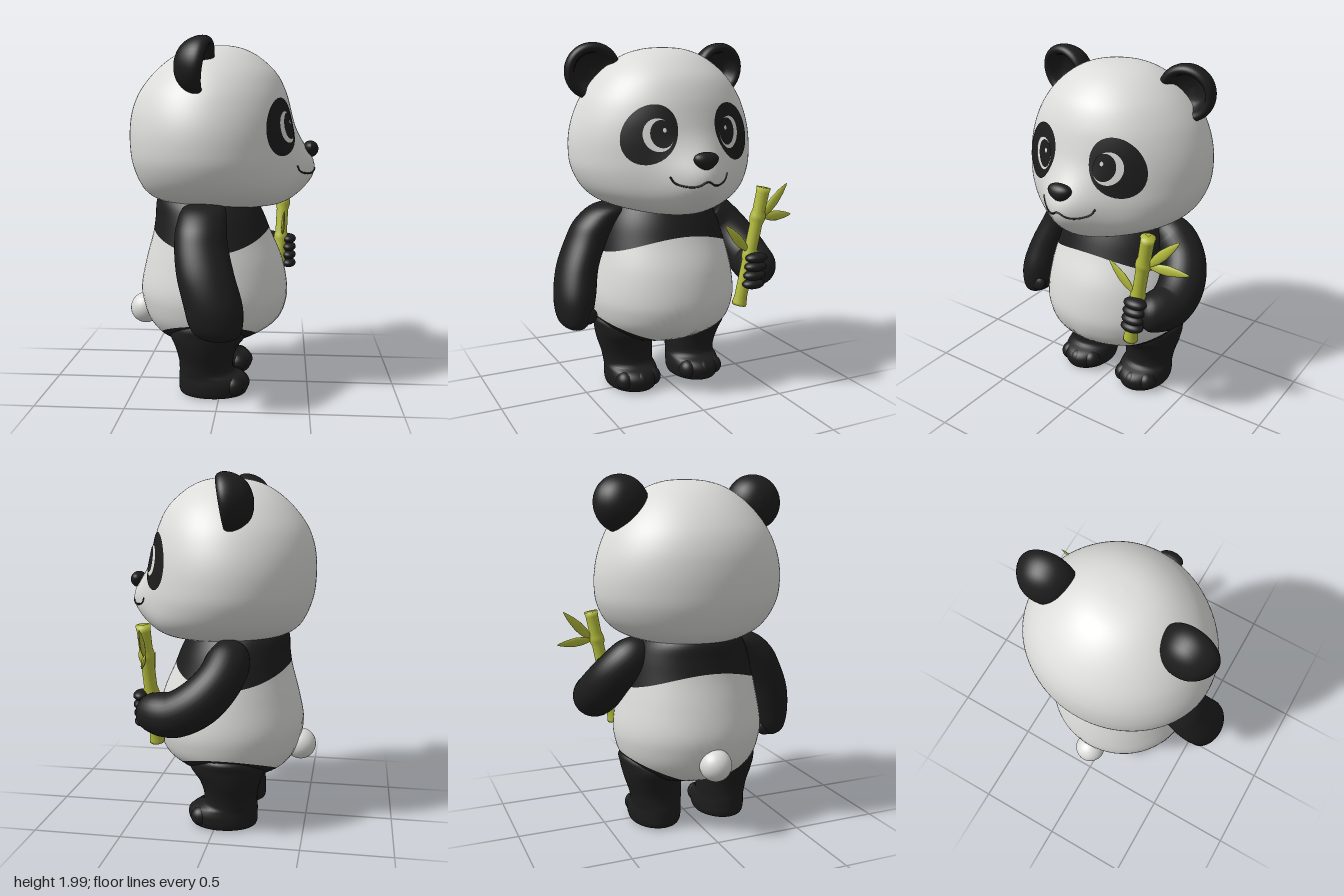
import * as THREE from 'three';

const material = (name, color) => {
  const m = new THREE.MeshStandardMaterial({ color });
  m.name = name;
  return m;
};

// Closed-loop surface: point(u, a) gives a ring for every u in 0..1
function gridGeometry(nU, nA, point) {
  const pos = [], index = [];
  for (let j = 0; j <= nU; j++)
    for (let i = 0; i < nA; i++) pos.push(...point(j / nU, (i / nA) * Math.PI * 2));
  for (let j = 0; j < nU; j++)
    for (let i = 0; i < nA; i++) {
      const k = (i + 1) % nA, a = j * nA + i, b = j * nA + k;
      index.push(a, b, a + nA, b, b + nA, a + nA);
    }
  const g = new THREE.BufferGeometry();
  g.setAttribute('position', new THREE.Float32BufferAttribute(pos, 3));
  g.setIndex(index);
  g.computeVertexNormals();
  return g;
}

// Smooth interpolation through a list of cross-sections
function rowAt(rows, u) {
  const n = rows.length - 1, f = Math.min(u * n, n - 1e-6), i = Math.floor(f), t = f - i;
  const at = (k) => rows[Math.max(0, Math.min(n, k))];
  return rows[0].map((_, c) => {
    const p0 = at(i - 1)[c], p1 = at(i)[c], p2 = at(i + 1)[c], p3 = at(i + 2)[c];
    const m1 = (p2 - p0) / 2, m2 = (p3 - p1) / 2;
    return (2 * t ** 3 - 3 * t * t + 1) * p1 + (t ** 3 - 2 * t * t + t) * m1
      + (3 * t * t - 2 * t ** 3) * p2 + (t ** 3 - t * t) * m2;
  });
}
function uOf(rows, y) {
  let lo = 0, hi = 1;
  for (let k = 0; k < 24; k++) {
    const mid = (lo + hi) / 2;
    if (rowAt(rows, mid)[0] < y) lo = mid; else hi = mid;
  }
  return lo;
}

// Sections are [y, centre x, half width, back z, front z]
function ringPoint(rows, u, a) {
  const [y, cx, rx, zb, zf] = rowAt(rows, u);
  return [cx + Math.max(0, rx) * Math.sin(a), y, (zb + zf) / 2 + ((zf - zb) / 2) * Math.cos(a)];
}
const loft = (rows, nU, nA, u0 = () => 0, u1 = () => 1) => gridGeometry(nU, nA, (t, a) =>
  ringPoint(rows, THREE.MathUtils.lerp(u0(a), u1(a), t), a));

// Tube of changing radius along points [x, y, z, radius]
function sweep(points, nU, nA) {
  const curve = new THREE.CatmullRomCurve3(points.map((p) => new THREE.Vector3(p[0], p[1], p[2])));
  const frames = curve.computeFrenetFrames(nU), radii = points.map((p) => [p[3]]);
  return gridGeometry(nU, nA, (u, a) => {
    const i = Math.round(u * nU), r = Math.max(0, rowAt(radii, curve.getUtoTmapping(u))[0]);
    return curve.getPointAt(u).addScaledVector(frames.normals[i], r * Math.cos(a))
      .addScaledVector(frames.binormals[i], r * Math.sin(a)).toArray();
  });
}

const HEAD = [
  [1.05, 0, 0, 0.05, 0.05], [1.06, 0, 0.16, -0.16, 0.25], [1.085, 0, 0.29, -0.34, 0.33],
  [1.13, 0, 0.4, -0.43, 0.375], [1.2, 0, 0.475, -0.48, 0.4], [1.3, 0, 0.522, -0.517, 0.405],
  [1.4, 0, 0.533, -0.53, 0.4], [1.5, 0, 0.525, -0.53, 0.395], [1.6, 0, 0.497, -0.515, 0.385],
  [1.7, 0, 0.45, -0.475, 0.36], [1.8, 0, 0.375, -0.4, 0.31], [1.88, 0, 0.285, -0.31, 0.23],
  [1.93, 0, 0.195, -0.22, 0.15], [1.955, 0, 0.1, -0.12, 0.07], [1.962, 0, 0, -0.02, -0.02],
];
const BODY = [
  [0.275, 0, 0, -0.07, -0.07], [0.285, 0, 0.2, -0.25, 0.1], [0.32, 0, 0.31, -0.36, 0.21],
  [0.4, 0, 0.39, -0.43, 0.325], [0.5, 0, 0.425, -0.465, 0.37], [0.6, 0, 0.43, -0.475, 0.375],
  [0.75, 0, 0.405, -0.445, 0.345], [0.9, 0, 0.37, -0.405, 0.28], [1.0, 0, 0.34, -0.39, 0.24],
  [1.08, 0, 0.3, -0.385, 0.2], [1.13, 0, 0.25, -0.36, 0.17],
];
const LEG = [
  [0, 0.205, 0, -0.04, -0.04], [0, 0.205, 0.12, -0.2, 0.12], [0.02, 0.205, 0.145, -0.232, 0.152],
  [0.07, 0.205, 0.153, -0.235, 0.167], [0.11, 0.205, 0.149, -0.235, 0.14], [0.14, 0.207, 0.146, -0.232, 0.08],
  [0.2, 0.212, 0.153, -0.235, 0.075], [0.28, 0.225, 0.166, -0.255, 0.1], [0.36, 0.23, 0.176, -0.28, 0.15],
  [0.43, 0.24, 0.165, -0.22, 0.1], [0.47, 0.24, 0, -0.06, -0.06],
];
const RIGHT_ARM = [
  [0.405, -0.57, 0, 0.02, 0.02], [0.425, -0.57, 0.055, -0.07, 0.11], [0.48, -0.567, 0.095, -0.13, 0.145],
  [0.6, -0.555, 0.115, -0.165, 0.145], [0.75, -0.52, 0.115, -0.205, 0.1], [0.9, -0.45, 0.117, -0.225, 0.06],
  [1.0, -0.385, 0.125, -0.22, 0.05], [1.08, -0.3, 0.11, -0.19, 0.03], [1.11, -0.26, 0, -0.08, -0.08],
];

// Muzzle swelling on the front of the head
const muzzle = (x, y, front) => 0.12 * Math.exp(-(x * x + (y - 1.28) ** 2) / 0.0288)
  * Math.min(1, Math.max(0, front * 1.5));
function faceZ(x, y) {
  const [, , w, zb, zf] = rowAt(HEAD, uOf(HEAD, y));
  const c = Math.sqrt(Math.max(0, 1 - (x / w) ** 2));
  return (zb + zf) / 2 + ((zf - zb) / 2) * c + muzzle(x, y, c);
}
// Thin oval lying on the face
const faceOval = (cx, cy, rx, ry, tilt, lift) => gridGeometry(8, 40, (u, a) => {
  const r = 1 - u, px = rx * r * Math.sin(a), py = -ry * r * Math.cos(a);
  const x = cx + px * Math.cos(tilt) - py * Math.sin(tilt), y = cy + px * Math.sin(tilt) + py * Math.cos(tilt);
  return [x, y, faceZ(x, y) + lift];
});

export function createModel() {
  const white = material('white fur', 0xdcdcda), black = material('black fur', 0x1d1d1d);
  const green = material('bamboo green', 0xb4bc3c);
  const model = new THREE.Group(), panda = new THREE.Group();
  panda.name = 'panda';
  panda.rotation.y = Math.PI / 2; // faces +x
  model.add(panda);
  const add = (name, geometry, mat, parent = panda) => {
    const m = new THREE.Mesh(geometry, mat);
    m.name = name;
    parent.add(m);
    return m;
  };
  const ball = (name, mat, p, s) => {
    const m = add(name, new THREE.SphereGeometry(1, 28, 20), mat);
    m.position.set(...p);
    m.scale.set(...s);
    return m;
  };

  // Head with muzzle
  add('head', gridGeometry(72, 96, (u, a) => {
    const [x, y, z] = ringPoint(HEAD, u, a);
    return [x, y, z + muzzle(x, y, Math.cos(a))];
  }), white);

  // Torso in three colour bands
  const uLow = (a) => uOf(BODY, 0.27 + 0.17 * Math.abs(Math.sin(a)) ** 1.4);
  const uHigh = (a) => uOf(BODY, 0.93 - 0.1 * Math.sin(a) ** 2);
  add('hips', loft(BODY, 12, 64, () => 0, uLow), black);
  add('belly', loft(BODY, 28, 64, uLow, uHigh), white);
  add('chest', loft(BODY, 12, 64, uHigh), black);
  ball('tail', white, [0, 0.435, -0.46], [0.09, 0.09, 0.09]);

  // Cupped ear profile, open toward the front
  const earProfile = [[0, -0.1], [0.06, -0.09], [0.11, -0.06], [0.145, -0.01], [0.158, 0.035], [0.152, 0.065],
    [0.132, 0.078], [0.112, 0.062], [0.1, 0.03], [0.075, -0.01], [0, -0.03]];
  const earCurve = new THREE.SplineCurve(earProfile.map((p) => new THREE.Vector2(...p)));
  const earPoints = earCurve.getPoints(36).map((p) => new THREE.Vector2(Math.max(0, p.x), p.y));
  const earGeometry = new THREE.LatheGeometry(earPoints, 40).rotateX(Math.PI / 2);

  for (const s of [-1, 1]) {
    const side = s > 0 ? 'left' : 'right';
    const ear = add(side + 'Ear', earGeometry, black);
    ear.position.set(s * 0.39, 1.838, -0.125);
    ear.rotation.set(0.17, s * 0.12, 0);
    add(side + 'Leg', loft(LEG.map(([y, x, ...r]) => [y, s * x, ...r]), 44, 40), black);
    for (const k of [-1, 0, 1])
      ball(side + 'Toe', black, [s * 0.205 + k * 0.085, 0.065, 0.11 - 0.03 * k * k], [0.052, 0.055, 0.058]);
    // Eye layers
    add(side + 'EyePatch', faceOval(s * 0.245, 1.513, 0.125, 0.165, s * 0.52, 0.004), black);
    add(side + 'EyeWhite', faceOval(s * 0.21, 1.512, 0.073, 0.086, 0, 0.008), white);
    add(side + 'Pupil', faceOval(s * 0.192, 1.518, 0.057, 0.072, 0, 0.011), black);
    add(side + 'EyeGlint', faceOval(s * 0.18, 1.538, 0.009, 0.012, 0, 0.014), white);
  }

  // Nose and mouth
  const nose = ball('nose', black, [0, 1.382, 0.5], [0.08, 0.047, 0.045]);
  const np = nose.geometry.attributes.position;
  for (let i = 0; i < np.count; i++) np.setX(i, np.getX(i) * (0.85 + 0.25 * np.getY(i)));
  nose.geometry.computeVertexNormals();
  const half = [[0.17, 1.3], [0.15, 1.268], [0.1, 1.25], [0.05, 1.252]];
  const mouth = [...half.map(([x, y]) => [-x, y]), [0, 1.275], ...half.slice().reverse()];
  const mouthCurve = new THREE.CatmullRomCurve3(mouth.map(([x, y]) => new THREE.Vector3(x, y, faceZ(x, y))));
  const onFace = mouthCurve.getPoints(40).map((p) => new THREE.Vector3(p.x, p.y, faceZ(p.x, p.y)));
  add('mouth', new THREE.TubeGeometry(new THREE.CatmullRomCurve3(onFace), 64, 0.005, 6), black);

  // Hanging arm with curled fingers
  add('rightArm', loft(RIGHT_ARM, 40, 36), black);
  for (let k = 0; k < 4; k++)
    ball('rightFinger', black, [-0.52, 0.475 + 0.008 * k, -0.06 + 0.055 * k], [0.055, 0.05, 0.032]);

  // Bent arm holding the bamboo
  add('leftArm', sweep([[0.24, 1.06, -0.08, 0], [0.27, 1.04, -0.08, 0.08], [0.34, 0.99, -0.085, 0.12],
    [0.43, 0.9, -0.05, 0.125], [0.485, 0.79, 0.05, 0.13], [0.49, 0.72, 0.18, 0.125], [0.46, 0.715, 0.28, 0.115],
    [0.42, 0.72, 0.335, 0.09], [0.39, 0.72, 0.36, 0]], 56, 32), black);
  for (let k = 0; k < 4; k++)
    ball('leftFinger', black, [0.395 - 0.006 * k, 0.795 - 0.05 * k, 0.385], [0.068, 0.03, 0.045]);

  // Bamboo stalk with raised joints
  const bamboo = new THREE.Group();
  bamboo.name = 'bamboo';
  panda.add(bamboo);
  const foot = new THREE.Vector3(0.325, 0.51, 0.32), axis = new THREE.Vector3(0.45, 1.19, 0.355).sub(foot);
  const len = axis.length(), up = new THREE.Vector3(0, 1, 0);
  const stalk = [[0, 0], [0.042, 0], [0.042, 0.015], [0.036, 0.05]];
  for (const n of [0.3, 0.52]) stalk.push([0.036, n - 0.04], [0.044, n - 0.012], [0.044, n + 0.012], [0.036, n + 0.04]);
  stalk.push([0.037, len - 0.03], [0.041, len], [0, len]);
  const stem = add('bambooStalk', new THREE.LatheGeometry(stalk.map((p) => new THREE.Vector2(...p)), 24), green, bamboo);
  stem.position.copy(foot);
  stem.quaternion.setFromUnitVectors(up, axis.normalize());

  // Leaves
  const leafProfile = [[0, 0], [0.012, 0.08], [0.026, 0.3], [0.029, 0.5], [0.02, 0.75], [0.008, 0.93], [0, 1]];
  const leafGeometry = new THREE.LatheGeometry(leafProfile.map((p) => new THREE.Vector2(...p)), 16);
  for (const [from, to] of [
    [[0.44, 1.01, 0.35], [0.625, 1.2, 0.33]],
    [[0.44, 1.02, 0.35], [0.675, 1.01, 0.305]],
    [[0.37, 0.82, 0.345], [0.205, 0.995, 0.355]],
  ]) {
    const d = new THREE.Vector3(...to).sub(new THREE.Vector3(...from));
    const leaf = add('bambooLeaf', leafGeometry, green, bamboo);
    leaf.position.set(...from);
    leaf.scale.set(1, d.length(), 0.4);
    leaf.quaternion.setFromUnitVectors(up, d.normalize());
  }
  return model;
}
